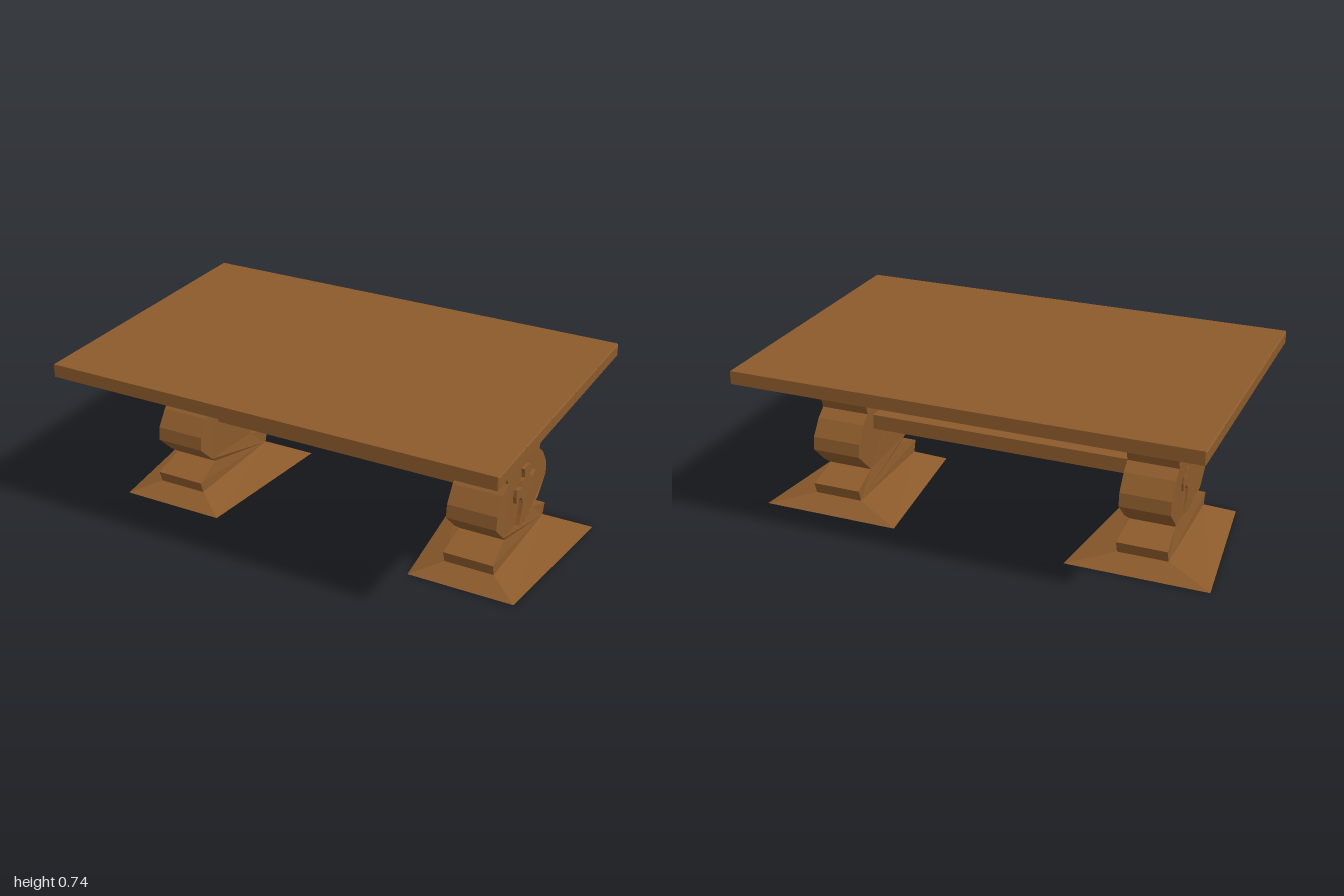
import * as THREE from 'three';

const wood = new THREE.MeshStandardMaterial({ color: 0x8b5a2b, flatShading: true });
const MID_Z = -0.017; // pedestals sit slightly behind the centre line

// Half-outline of a pedestal: [half width, height]
const PROFILE = [
  [0.262, 0.05], [0.279, 0.103], [0.145, 0.147], [0.183, 0.178], [0.264, 0.257], [0.258, 0.315],
  [0.21, 0.384], [0.166, 0.418], [0.193, 0.503], [0.279, 0.572], [0.308, 0.623], [0.402, 0.68],
];

// Half-outline of the carved cross, from bottom to top, around its hub
const CROSS = [
  [0, -0.166], [0.055, -0.153], [0.038, -0.112], [0.028, -0.075], [0.024, -0.053], [0.036, -0.044],
  [0.048, -0.025], [0.07, -0.024], [0.096, -0.031], [0.102, 0], [0.098, 0.031], [0.07, 0.021],
  [0.048, 0.021], [0.036, 0.04], [0.021, 0.052], [0.022, 0.07], [0.029, 0.094], [0, 0.098],
];

function mesh(name, geometry) {
  const m = new THREE.Mesh(geometry, wood);
  m.name = name;
  return m;
}

// Mirrors a half-outline and extrudes it along x from x0 to x1
function extrudeAlongX(half, x0, x1) {
  const mirrored = half.filter(([u]) => u > 0).map(([u, v]) => [-u, v]).reverse();
  const shape = new THREE.Shape([...half, ...mirrored].map(([u, v]) => new THREE.Vector2(u, v)));
  const g = new THREE.ExtrudeGeometry(shape, { depth: x1 - x0, bevelEnabled: false });
  return g.rotateY(Math.PI / 2).translate(x0, 0, 0);
}

// Pedestal body, pinched slightly in thickness at its neck
function pedestalGeometry(x0, x1) {
  const g = extrudeAlongX(PROFILE, x0, x1).translate(0, 0, MID_Z);
  const p = g.attributes.position;
  const centre = (x0 + x1) / 2;
  for (let i = 0; i < p.count; i++) {
    if (Math.abs(p.getY(i) - 0.147) < 0.002) {
      p.setX(i, p.getX(i) - Math.sign(p.getX(i) - centre) * 0.01);
    }
  }
  return g;
}

// Sloping foot: rectangular top, wider trapezoid on the floor
function footGeometry(x0, x1) {
  const g = new THREE.BoxGeometry(1, 1, 1);
  const p = g.attributes.position;
  for (let i = 0; i < p.count; i++) {
    const right = p.getX(i) > 0, top = p.getY(i) > 0, front = p.getZ(i) > 0;
    const flare = top ? 0 : front ? 0.122 : 0.197;
    p.setXYZ(i,
      right ? x1 + flare : x0 - flare,
      top ? 0.052 : 0,
      MID_Z + (front ? 1 : -1) * (top ? 0.262 : 0.348));
  }
  g.computeVertexNormals();
  return g;
}

// Plank with a small chamfer on every edge
function plankGeometry(x0, x1, y0, y1, width) {
  const b = 0.005, h = width / 2 - b;
  const shape = new THREE.Shape([[-h, y0 + b], [h, y0 + b], [h, y1 - b], [-h, y1 - b]]
    .map(([u, v]) => new THREE.Vector2(u, v)));
  const g = new THREE.ExtrudeGeometry(shape, {
    depth: x1 - x0 - 2 * b, bevelThickness: b, bevelSize: b, bevelSegments: 1,
  });
  return g.rotateY(Math.PI / 2).translate(x0 + b, 0, 0);
}

export function createModel() {
  const table = new THREE.Group();
  table.name = 'trestleTable';

  // Top made of five planks
  const top = new THREE.Group();
  top.name = 'tableTop';
  const step = 1.276 / 5;
  for (let i = 0; i < 5; i++) {
    const plank = mesh('plank', plankGeometry(-1, 0.952, 0.679, 0.735, step));
    plank.position.z = (i - 2) * step;
    top.add(plank);
  }
  table.add(top);

  // Pedestals, each with a foot and a raised cross on its outer face
  const sides = [
    { name: 'rightPedestal', x0: -0.785, x1: -0.57, crossFrom: -0.788, crossTo: -0.775 },
    { name: 'leftPedestal', x0: 0.585, x1: 0.8, crossFrom: 0.79, crossTo: 0.812 },
  ];
  for (const s of sides) {
    const pedestal = new THREE.Group();
    pedestal.name = s.name;
    const cross = mesh('carvedCross', extrudeAlongX(CROSS, s.crossFrom, s.crossTo));
    cross.position.set(0, 0.322, -0.024);
    pedestal.add(
      mesh('pedestalBody', pedestalGeometry(s.x0, s.x1)),
      mesh('foot', footGeometry(s.x0, s.x1)),
      cross,
    );
    table.add(pedestal);
  }

  // Stretcher joining the pedestals
  const stretcher = mesh('stretcher', new THREE.BoxGeometry(1.175, 0.065, 0.23));
  stretcher.position.set(0.0075, 0.362, MID_Z);
  table.add(stretcher);

  return table;
}
